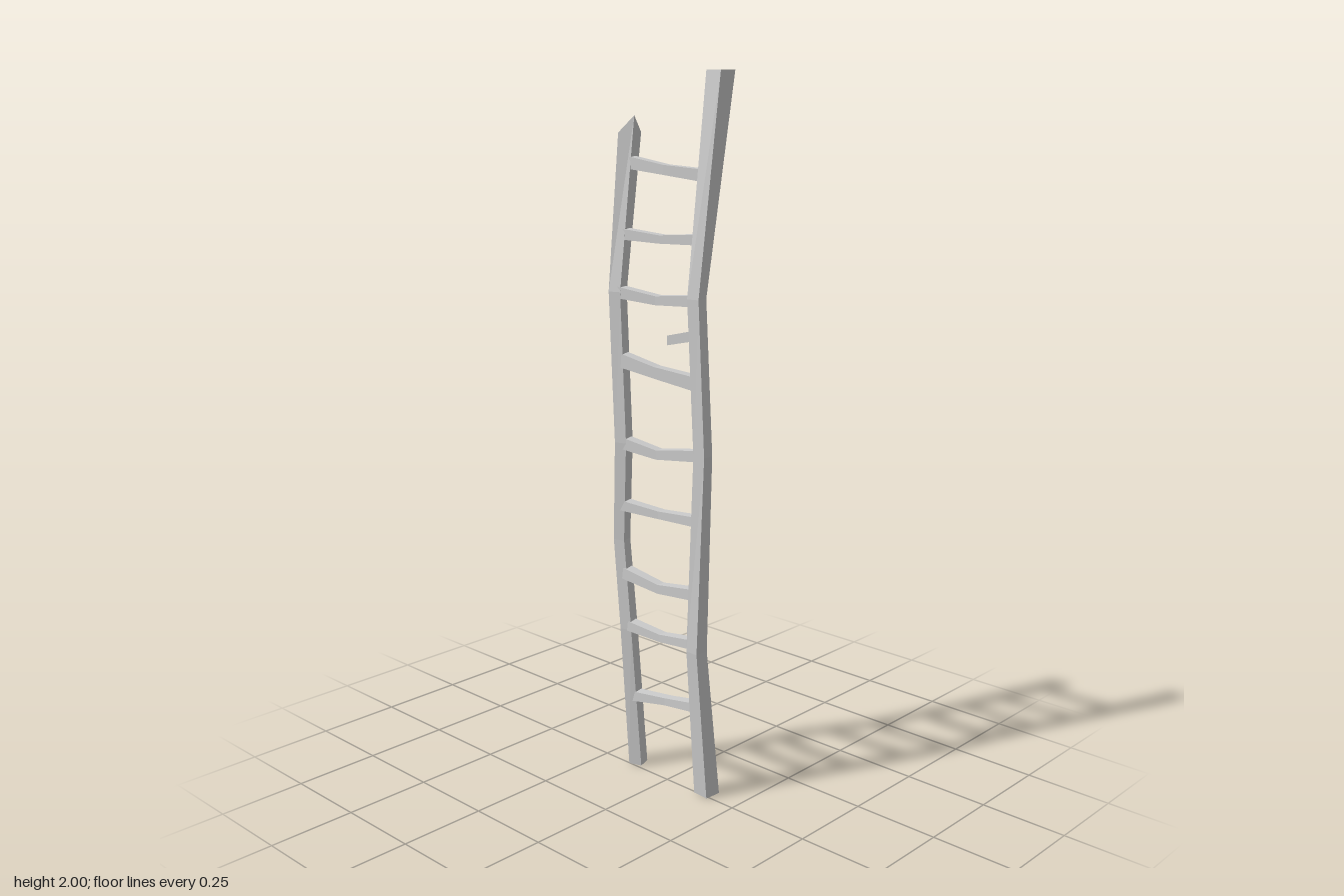
import * as THREE from 'three';

const material = new THREE.MeshStandardMaterial({ color: 0xcccccc, flatShading: true });

// Closed four-sided beam through a list of corner rings (counterclockwise seen from the far end)
function beam(name, rings) {
  const pos = [];
  const quad = (a, b, c, d) => [a, b, c, a, c, d].forEach(p => pos.push(...p));
  for (let r = 0; r < rings.length - 1; r++) {
    const lo = rings[r], hi = rings[r + 1];
    for (let i = 0; i < 4; i++) {
      const j = (i + 1) % 4;
      quad(lo[i], lo[j], hi[j], hi[i]);
    }
  }
  quad(...[...rings[0]].reverse());
  quad(...rings[rings.length - 1]);
  const geo = new THREE.BufferGeometry();
  geo.setAttribute('position', new THREE.Float32BufferAttribute(pos, 3));
  geo.computeVertexNormals();
  const mesh = new THREE.Mesh(geo, material);
  mesh.name = name;
  return mesh;
}

// Horizontal square ring of a rail: centre, half width, twist in degrees
function railRing([x, y, z, h, deg]) {
  const c = Math.cos(deg * Math.PI / 180), s = Math.sin(deg * Math.PI / 180);
  return [[h, h], [h, -h], [-h, -h], [-h, h]]
    .map(([dx, dz]) => [x + dx * c + dz * s, y, z - dx * s + dz * c]);
}

// Upright rectangular ring of a rung: centre, half height, half depth
function rungRing([x, y, z, hy, hz]) {
  return [[hy, -hz], [hy, hz], [-hy, hz], [-hy, -hz]].map(([dy, dz]) => [x, y + dy, z + dz]);
}

// Centre of a rail at a given height
function railAt(path, y) {
  let i = 0;
  while (i < path.length - 2 && path[i + 1][1] < y) i++;
  const a = path[i], b = path[i + 1], t = (y - a[1]) / (b[1] - a[1]);
  return [a[0] + (b[0] - a[0]) * t, a[2] + (b[2] - a[2]) * t];
}

export function createModel() {
  const group = new THREE.Group();
  group.name = 'crookedLadder';

  // Crooked rails
  const rightPath = [
    [-0.142, 0, -0.024, 0.02, 18], [-0.135, 0.44, 0.018, 0.018, 14], [-0.148, 0.71, 0.031, 0.017, 14],
    [-0.123, 1.0, 0.046, 0.018, 14], [-0.134, 1.42, 0.054, 0.018, 15], [-0.14, 1.85, 0.005, 0.024, 30],
  ];
  const leftPath = [
    [0.138, 0, -0.018, 0.025, -4], [0.131, 0.44, 0.02, 0.02, -3], [0.148, 1.0, 0.018, 0.018, 5],
    [0.125, 1.42, 0.02, 0.018, 8], [0.142, 2, -0.048, 0.026, -3],
  ];
  // The shorter rail ends in a splintered, slanted tip
  const brokenTip = [[-0.107, 1.885, 0.014], [-0.129, 1.84, -0.034], [-0.172, 1.83, -0.005], [-0.143, 1.84, 0.039]];
  group.add(beam('rightRail', [...rightPath.slice(0, -1).map(railRing), brokenTip]));
  group.add(beam('leftRail', leftPath.map(railRing)));

  // Bent rungs: height at the right end, middle, left end, and half height
  const rungs = [
    [0.225, 0.247, 0.27, 0.012], [0.452, 0.447, 0.462, 0.012], [0.612, 0.595, 0.608, 0.014],
    [0.815, 0.81, 0.817, 0.012], [1.0, 0.983, 1.002, 0.014], [1.235, 1.212, 1.195, 0.017],
    [1.42, 1.406, 1.415, 0.013], [1.575, 1.567, 1.573, 0.012], [1.765, 1.747, 1.735, 0.014],
  ];
  rungs.forEach(([y0, y1, y2, h], i) => {
    const [xa, za] = railAt(rightPath, y0), [xb, zb] = railAt(leftPath, y2);
    const bend = 0.004 * (i % 3 - 1);
    group.add(beam('rung' + (i + 1), [
      rungRing([xa, y0, za, h + 0.003, 0.016]),
      rungRing([0, y1, (za + zb) / 2 + bend, h - 0.001, 0.014]),
      rungRing([xb, y2, zb, h + 0.002, 0.016]),
    ]));
  });

  // Stub of a snapped rung
  const [sx, sz] = railAt(leftPath, 1.32);
  group.add(beam('brokenRung', [
    rungRing([0.046, 1.305, 0.036, 0.013, 0.014]),
    rungRing([sx, 1.325, sz, 0.014, 0.015]),
  ]));
  return group;
}
